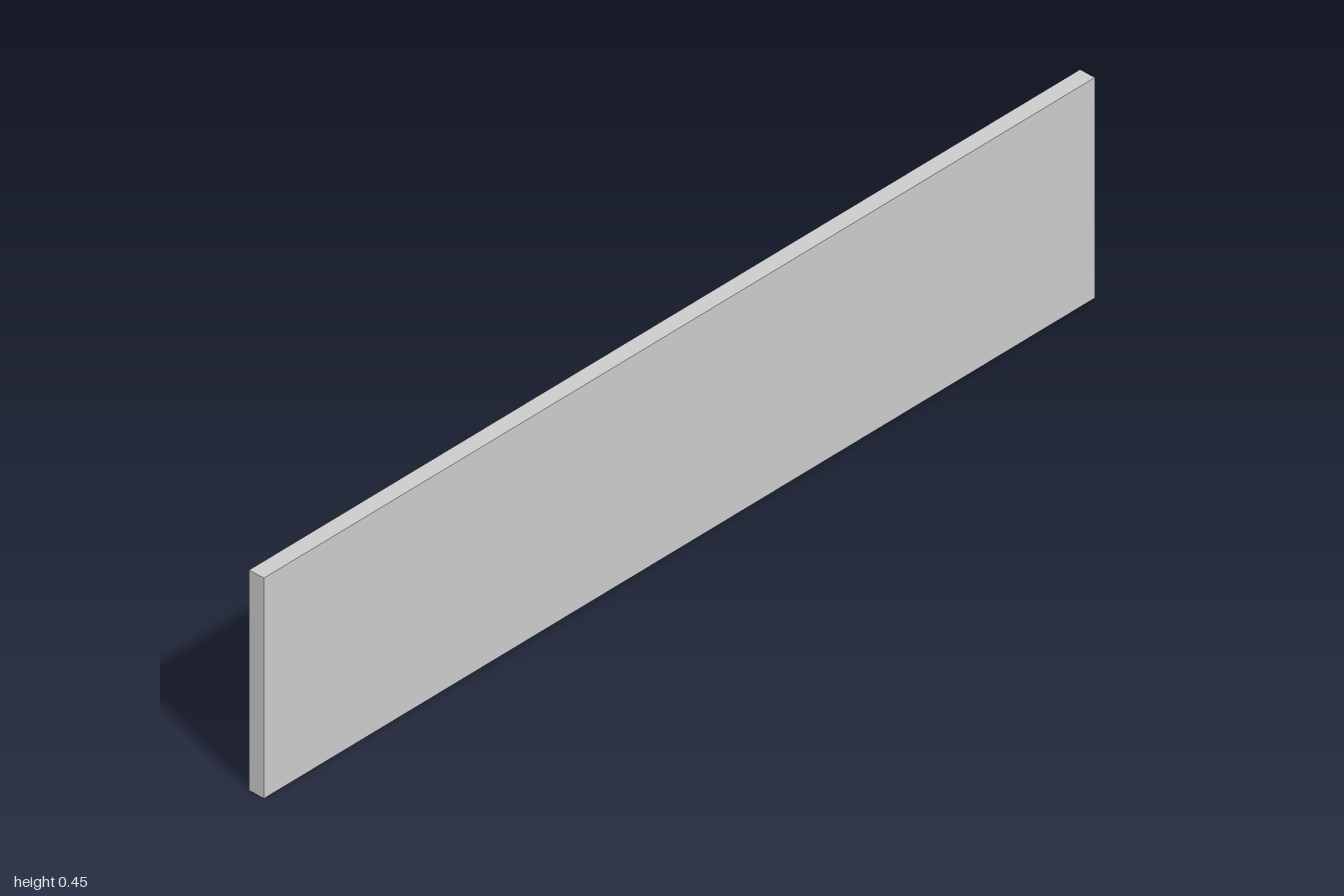
import * as THREE from 'three';

const WALL_X = -0.014; // wall face that carries the door
const DOOR_Z = -0.58; // centre of the doorway along the wall

export function createModel() {
  const model = new THREE.Group();
  const material = new THREE.MeshStandardMaterial({ color: 0xcccccc, flatShading: true });

  const add = (parent, name, geometry, x, y, z) => {
    const mesh = new THREE.Mesh(geometry, material);
    mesh.name = name;
    mesh.position.set(x, y, z);
    parent.add(mesh);
    return mesh;
  };
  const rectangle = (path, x0, x1, y0, y1) => {
    path.moveTo(x0, y0);
    path.lineTo(x1, y0);
    path.lineTo(x1, y1);
    path.lineTo(x0, y1);
    path.closePath();
    return path;
  };

  // Long slab wall
  add(model, 'wall', new THREE.BoxGeometry(0.034, 0.448, 2), 0.003, 0.224, 0);

  // Door, drawn facing local +z, then turned to face -x (local x becomes world z)
  const door = new THREE.Group();
  door.name = 'door';
  door.position.set(WALL_X, 0, DOOR_Z);
  door.rotation.y = -Math.PI / 2;
  model.add(door);

  // Casing: two jambs and a head, open at the bottom
  const casing = new THREE.Shape();
  casing.moveTo(-0.11, 0.038);
  casing.lineTo(-0.088, 0.038);
  casing.lineTo(-0.088, 0.336);
  casing.lineTo(0.088, 0.336);
  casing.lineTo(0.088, 0.038);
  casing.lineTo(0.11, 0.038);
  casing.lineTo(0.11, 0.358);
  casing.lineTo(-0.11, 0.358);
  casing.closePath();
  add(door, 'doorCasing', new THREE.ExtrudeGeometry(casing, { depth: 0.0055, bevelEnabled: false }), 0, 0, 0);

  // Leaf with six panel openings
  const leaf = rectangle(new THREE.Shape(), -0.088, 0.088, 0.038, 0.336);
  const columns = [-0.054, 0, 0.054];
  const rows = [[0.054, 0.17], [0.2, 0.32]];
  const panelHalf = 0.022;
  for (const x of columns) {
    for (const [y0, y1] of rows) {
      leaf.holes.push(rectangle(new THREE.Path(), x - panelHalf, x + panelHalf, y0, y1));

      // Raised field with sloping edges inside each opening
      const field = rectangle(new THREE.Shape(), x - 0.015, x + 0.015, y0 + 0.007, y1 - 0.007);
      add(door, 'doorPanel', new THREE.ExtrudeGeometry(field, {
        depth: 0.0005, bevelThickness: 0.001, bevelSize: 0.004, bevelSegments: 1,
      }), 0, 0, 0.001);
    }
  }
  add(door, 'doorLeaf', new THREE.ExtrudeGeometry(leaf, { depth: 0.0035, bevelEnabled: false }), 0, 0, 0);

  // Lever handle on the side away from the hinges
  const spindle = add(door, 'handleSpindle', new THREE.CylinderGeometry(0.002, 0.002, 0.003, 12), 0.079, 0.188, 0.0045);
  spindle.rotation.x = Math.PI / 2;
  add(door, 'handleLever', new THREE.BoxGeometry(0.034, 0.003, 0.001), 0.065, 0.188, 0.006);

  return model;
}
